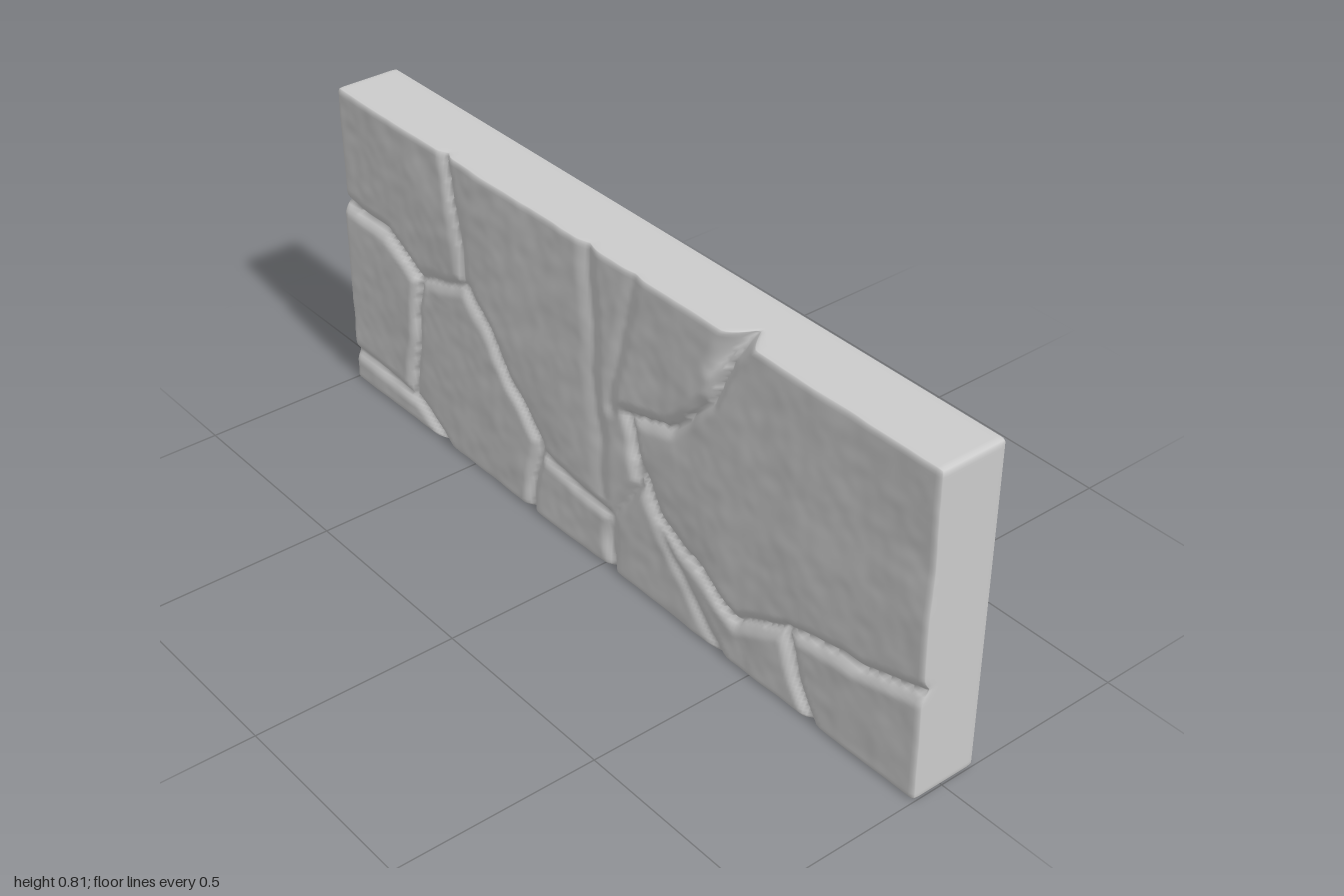
import * as THREE from 'three';
import { mergeVertices } from 'three/addons/utils/BufferGeometryUtils.js';

const W = 2, H = 0.815, BACK = -0.09, FRONT = 0.081, R = 0.011;

// A joint between stones: its line, depth at start and end, width,
// and how far the face drops on the left of the line's direction
const joint = (points, start, end, width = 0.027, step = 0) => ({ points, start, end, width, step });

const joints = [
  // left stones
  joint([[-1.02, .51], [-.82, .5], [-.7, .43], [-.745, .08]], .015, .018, .028, .004),
  joint([[-1.02, .075], [-.73, .07], [-.57, -.02]], .014, .02),
  joint([[-.7, .43], [-.5, .5], [-.23, .2], [-.28, -.02]], .012, .018, .028, .002),
  joint([[-.57, .83], [-.51, .51]], .014, .006, .027, .003),
  // low middle stone
  joint([[-.22, .18], [.03, .15], [.02, -.02]], .012, .018),
  // broken notch in the top edge and the crack below it
  joint([[.44, .83], [.37, .71]], .075, .012, .04),
  joint([[.42, .78], [.36, .63], [.22, .49], [.08, .45]], .02, .016, .028, .006),
  // right stones
  joint([[.08, .45], [.13, .29], [.03, .16]], .017, .014),
  joint([[.11, .35], [.2, .23], [.46, .12], [.62, .19], [1.02, .285]], .012, .018, .029, .004),
  joint([[.61, .19], [.65, .08], [.7, -.02]], .022, .018),
  joint([[.2, .22], [.43, -.02]], .007, .012),
  // worn band down the middle
  joint([[-.06, .83], [0, .2]], .011, .004, .04),
  joint([[.11, .83], [.03, .45]], .005, .009, .035),
];

// Smooth repeatable noise in -1..1
function hash(i, j) {
  const s = Math.sin(i * 127.1 + j * 311.7) * 43758.5453;
  return 2 * (s - Math.floor(s)) - 1;
}
function noise(x, y) {
  const i = Math.floor(x), j = Math.floor(y);
  const u = THREE.MathUtils.smoothstep(x - i, 0, 1);
  const v = THREE.MathUtils.smoothstep(y - j, 0, 1);
  const mix = THREE.MathUtils.lerp;
  return mix(mix(hash(i, j), hash(i + 1, j), u), mix(hash(i, j + 1), hash(i + 1, j + 1), u), v);
}

// Nearest place on a joint: distance, side (-1..1) and progress (0..1)
function nearest(points, x, y) {
  let best = { dist: Infinity, side: 0, t: 0 };
  for (let i = 0; i + 1 < points.length; i++) {
    const [ax, ay] = points[i], [bx, by] = points[i + 1];
    const ex = bx - ax, ey = by - ay, px = x - ax, py = y - ay;
    const len = Math.hypot(ex, ey);
    const k = THREE.MathUtils.clamp((px * ex + py * ey) / (len * len), 0, 1);
    const dist = Math.hypot(px - k * ex, py - k * ey);
    if (dist < best.dist) {
      const side = dist > 1e-6 ? (ex * py - ey * px) / (len * dist) : 0;
      best = { dist, side, t: (i + k) / (points.length - 1) };
    }
  }
  return best;
}

// Height of the stone face relative to the flat front
function relief(x, y) {
  // wobble the joints so they look broken rather than ruled
  const wx = x + 0.009 * noise(x * 12, y * 12), wy = y + 0.009 * noise(x * 12 + 40, y * 12);
  let groove = 0, step = 0;
  for (const j of joints) {
    const n = nearest(j.points, wx, wy);
    const depth = THREE.MathUtils.lerp(j.start, j.end, n.t);
    groove = Math.max(groove, depth * Math.max(0, 1 - n.dist / j.width) ** 1.5);
    step += j.step * n.side * Math.exp(-n.dist / 0.07);
  }
  const rough = 0.0028 * noise(x * 5, y * 5) + 0.0014 * noise((x + y) * 9, (y - x) * 17)
    + 0.0006 * noise(x * 35, y * 35);
  return Math.min(rough - step, 0.009) - groove;
}

export function createModel() {
  const group = new THREE.Group();
  group.name = 'stoneWallPanel';

  const depth = FRONT - BACK;
  const geo = new THREE.BoxGeometry(W, H, depth, 230, 94, 10);
  const pos = geo.attributes.position;
  const p = new THREE.Vector3(), core = new THREE.Vector3();
  const inner = new THREE.Vector3(W / 2 - R, H / 2 - R, depth / 2 - R);
  const innerMin = inner.clone().negate();

  for (let i = 0; i < pos.count; i++) {
    p.fromBufferAttribute(pos, i);
    // crowd the depth rows towards front and back
    p.z = Math.sin(p.z / depth * Math.PI) * depth / 2;
    // round the edges
    core.copy(p).clamp(innerMin, inner);
    p.sub(core).setLength(R).add(core);
    p.y += H / 2;
    // carve the front, fading out towards the back
    const weight = THREE.MathUtils.clamp(p.z / depth + 0.5, 0, 1) ** 2;
    p.z += (FRONT + BACK) / 2 + relief(p.x, p.y) * weight;
    pos.setXYZ(i, p.x, p.y, p.z);
  }

  // weld the faces so the rounded edges shade smoothly
  geo.deleteAttribute('normal');
  geo.deleteAttribute('uv');
  const slab = mergeVertices(geo, 1e-5);
  slab.computeVertexNormals();

  const mesh = new THREE.Mesh(slab, new THREE.MeshStandardMaterial({ color: 0xcccccc }));
  mesh.name = 'carvedSlab';
  group.add(mesh);
  return group;
}
